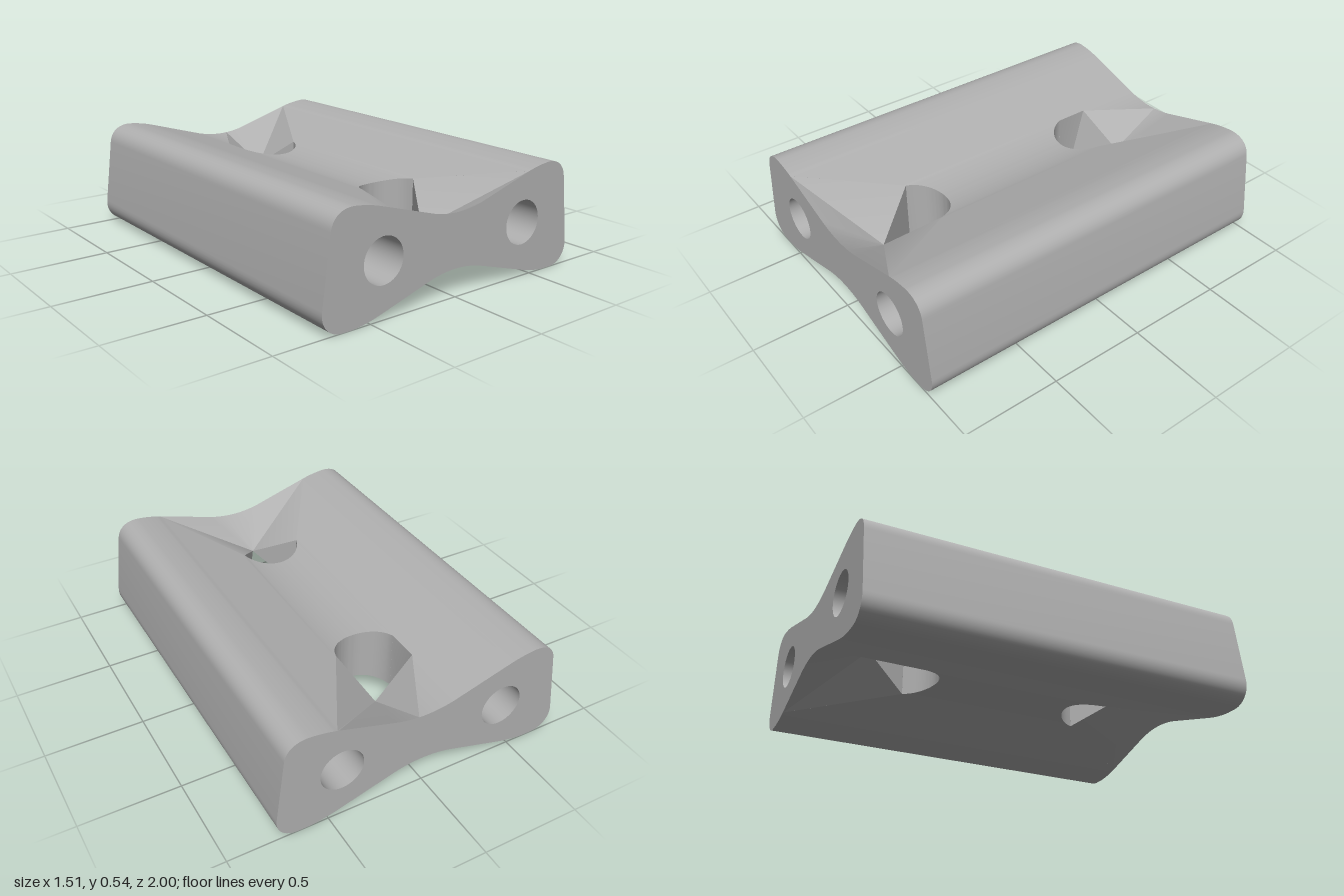
import * as THREE from 'three';
import { toCreasedNormals } from 'three/addons/utils/BufferGeometryUtils.js';

const MID = 0.27, EDGE = 0.46, RIM = 0.16, R = 0.165;
const HOLE_X = 0.43, BORE = 0.11, NECK = 0.055;

// Waisted section: height of the upper and lower faces at x
function topY(x) {
  const a = Math.abs(x);
  if (a < 0.15) return 0.403 + 0.02 * (a / 0.15) ** 2;
  if (a < 0.45) return 0.423 + 0.3 * (a - 0.15);
  const t = a - 0.45;
  return Math.min(0.54, 0.513 + 0.3 * t - 0.8 * t * t);
}
const faceY = (x, side) => (side > 0 ? topY(x) : 0.54 - topY(x));
const V = (x, y, z) => new THREE.Vector3(x, y, z);
const lerp = THREE.MathUtils.lerp;
const range = (a, b) => {
  const list = [];
  for (let i = Math.round(a * 100); i <= Math.round(b * 100); i++) list.push(i / 100);
  return list;
};

// Rounded outer end of the section, from the upper face down to the lower
function endCurve() {
  const path = new THREE.Path();
  path.moveTo(0.6, 0.54);
  path.bezierCurveTo(0.66, 0.54, 0.705, 0.51, 0.713, 0.45);
  path.lineTo(0.756, 0.12);
  path.bezierCurveTo(0.765, 0.05, 0.715, 0, 0.65, 0);
  path.lineTo(0.6, 0);
  return path.getPoints(12);
}

// Where the broad faces stop at each end; m chooses the branch
function frontZ(x, m) {
  if (Math.abs(m) > EDGE) return 1;
  if (Math.abs(m) > RIM) return lerp(0.53, 1, (Math.abs(x) - RIM) / (EDGE - RIM));
  return 0.57 - Math.sqrt(R * R - x * x);
}
function backZ(x, m) {
  if (m > EDGE || m < -RIM) return -1;
  if (m > RIM) return lerp(-0.47, -1, (x - RIM) / (EDGE - RIM));
  return -0.51 + Math.sqrt(R * R - x * x);
}

function skinGeometry() {
  const pos = [];
  // Adds a triangle wound so that it faces the given direction
  const tri = (a, b, c, facing) => {
    const n = b.clone().sub(a).cross(c.clone().sub(a));
    const order = n.dot(facing) >= 0 ? [a, b, c] : [a, c, b];
    order.forEach((p) => pos.push(p.x, p.y, p.z));
  };
  const quad = (a, b, c, d, facing) => {
    tri(a, b, c, facing);
    tri(a, c, d, facing);
  };
  const on = (x, z, side) => V(x, faceY(x, side), z);
  const steps = (a, b, fn) => {
    const xs = range(a, b);
    for (let i = 0; i + 1 < xs.length; i++) fn(xs[i], xs[i + 1], (xs[i] + xs[i + 1]) / 2);
  };
  const frontApex = V(0, MID, 0.77), backApex = V(0.07, MID, -0.69);

  for (const side of [1, -1]) {
    const up = V(0, side, 0);
    // Broad face between the two notches
    steps(-0.6, 0.6, (p, q, m) => quad(
      on(p, frontZ(p, m), side), on(q, frontZ(q, m), side),
      on(q, backZ(q, m), side), on(p, backZ(p, m), side), up));
    // Sunken fans running from the ends to the notch points
    steps(-EDGE, EDGE, (p, q) => tri(on(p, 1, side), on(q, 1, side), frontApex, up));
    steps(side > 0 ? 0.04 : -RIM, EDGE, (p, q) =>
      tri(on(p, -1, side), on(q, -1, side), backApex, up));
    // Sloping flanks of the notches
    for (const s of [1, -1])
      tri(on(s * EDGE, 1, side), on(s * RIM, 0.53, side), frontApex, up);
    tri(on(EDGE, -1, side), on(RIM, -0.47, side), backApex, up);
  }
  // Uneven left flank of the back notch
  const upper = on(-RIM, -0.64, 1), lower = on(-RIM, -0.56, -1);
  const cutZ = (x) => lerp(-0.64, -1, (x + RIM) / 0.2);
  steps(-RIM, 0.04, (p, q) => quad(
    on(p, cutZ(p), 1), on(q, cutZ(q), 1), on(q, -1, 1), on(p, -1, 1), V(0, 1, 0)));
  tri(on(0.04, -1, 1), upper, backApex, V(0, 1, 0));
  tri(on(-RIM, -1, -1), lower, backApex, V(0, -1, 0));
  tri(upper, lower, backApex, V(0, 0, 1));
  quad(on(-RIM, -0.47, 1), upper, lower, on(-RIM, -0.47, -1), V(1, 0, 0));

  // Curved and flat walls of the vertical openings
  for (const [zAt, dir] of [[frontZ, 1], [backZ, -1]])
    steps(-RIM, RIM, (p, q) => quad(
      on(p, zAt(p, 0), 1), on(q, zAt(q, 0), 1),
      on(q, zAt(q, 0), -1), on(p, zAt(p, 0), -1), V(0, 0, dir)));
  for (const s of [1, -1])
    tri(on(s * RIM, 0.53, 1), on(s * RIM, 0.53, -1), frontApex, V(-s, 0, 0));
  tri(on(RIM, -0.47, 1), on(RIM, -0.47, -1), backApex, V(-1, 0, 0));

  // Rounded long sides
  const curve = endCurve();
  for (const s of [1, -1])
    for (let i = 0; i + 1 < curve.length; i++) {
      const a = curve[i], b = curve[i + 1];
      quad(V(s * a.x, a.y, 1), V(s * b.x, b.y, 1), V(s * b.x, b.y, -1), V(s * a.x, a.y, -1),
        V(s * ((a.x + b.x) / 2 - 0.5), (a.y + b.y) / 2 - MID, 0));
    }

  const geo = new THREE.BufferGeometry();
  geo.setAttribute('position', new THREE.Float32BufferAttribute(pos, 3));
  return toCreasedNormals(geo, 0.4);
}

// Flat end plate with two round holes
function endGeometry() {
  const xs = range(-0.6, 0.6), curve = endCurve();
  const outline = [
    ...xs.map((x) => new THREE.Vector2(x, faceY(x, 1))),
    ...curve,
    ...xs.slice().reverse().map((x) => new THREE.Vector2(x, faceY(x, -1))),
    ...curve.slice().reverse().map((p) => new THREE.Vector2(-p.x, p.y)),
  ].filter((p, i, all) => i === 0 || p.distanceTo(all[i - 1]) > 0.003);
  const shape = new THREE.Shape(outline);
  for (const s of [1, -1]) {
    const hole = new THREE.Path();
    hole.absarc(s * HOLE_X, MID, BORE, 0, Math.PI * 2, true);
    shape.holes.push(hole);
  }
  return new THREE.ShapeGeometry(shape, 24);
}

export function createModel() {
  const group = new THREE.Group();
  const grey = new THREE.MeshStandardMaterial({ color: 0xb0b0b0, side: THREE.DoubleSide });
  grey.name = 'grey';
  const add = (name, geo) => {
    const mesh = new THREE.Mesh(geo, grey);
    mesh.name = name;
    group.add(mesh);
    return mesh;
  };

  add('body', skinGeometry());
  const end = endGeometry();
  add('frontEnd', end).position.z = 1;
  const back = add('backEnd', end);
  back.position.z = -1;
  back.rotation.y = Math.PI;

  // Stepped bores along the length
  const profile = [[BORE, 1], [BORE, 0.5], [NECK, 0.5], [NECK, -0.5], [BORE, -0.5], [BORE, -1]]
    .map(([r, y]) => new THREE.Vector2(r, y));
  const bore = toCreasedNormals(new THREE.LatheGeometry(profile, 48), 0.5);
  for (const s of [1, -1]) {
    const mesh = add(s > 0 ? 'leftBore' : 'rightBore', bore);
    mesh.rotation.x = Math.PI / 2;
    mesh.position.set(s * HOLE_X, MID, 0);
  }
  return group;
}
